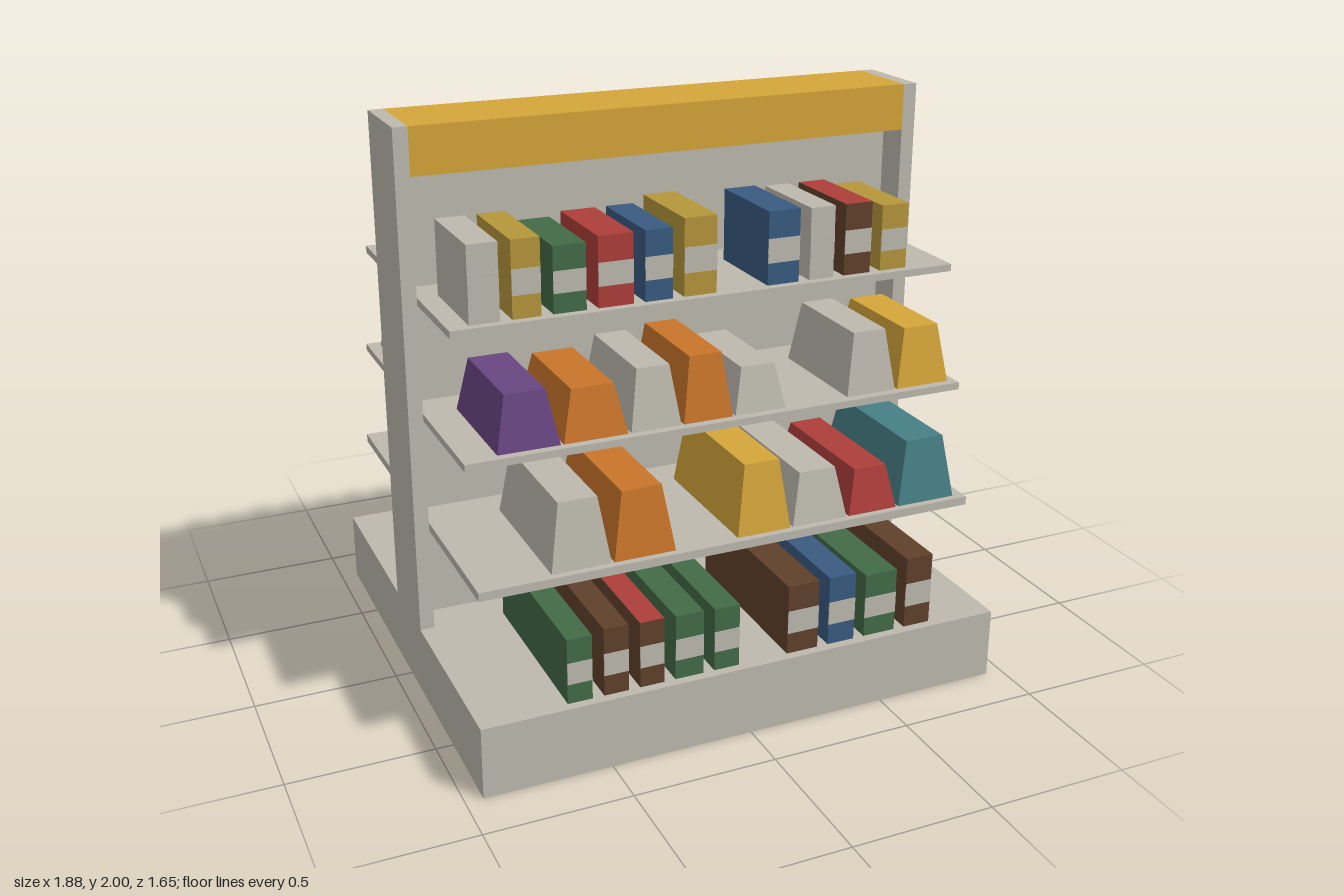
import * as THREE from 'three';

const INNER = 0.15; // goods start level with the post faces

function makeMaterials() {
  const colours = {
    grey: 0xbdb9ae, gold: 0xd4a539, ochre: 0xb5963b, red: 0xad3e39, blue: 0x395b81,
    green: 0x436b46, brown: 0x60412c, orange: 0xc9752a, teal: 0x457f85, purple: 0x694682,
  };
  const mats = {};
  for (const [name, color] of Object.entries(colours)) {
    mats[name] = new THREE.MeshStandardMaterial({ color });
    mats[name].name = name;
  }
  mats.grey.side = THREE.DoubleSide;
  return mats;
}

// Box standing on height y, spanning x0..x1 and z0..z1
function addBox(parent, name, material, x0, x1, y, height, z0, z1) {
  const geo = new THREE.BoxGeometry(x1 - x0, height, z1 - z0);
  const mesh = new THREE.Mesh(geo, material);
  mesh.position.set((x0 + x1) / 2, y + height / 2, (z0 + z1) / 2);
  mesh.name = name;
  parent.add(mesh);
  return mesh;
}

// Drop the bottom face (the fourth face of a box)
function openBottom(mesh) {
  const index = Array.from(mesh.geometry.index.array);
  index.splice(18, 6);
  mesh.geometry.setIndex(index);
  mesh.geometry.clearGroups();
}

// Draw the top edges of a box inwards
function taper(geo) {
  const p = geo.attributes.position;
  for (let i = 0; i < p.count; i++) {
    if (p.getY(i) < 0) continue;
    p.setX(i, p.getX(i) * 0.65);
    p.setZ(i, p.getZ(i) - Math.sign(p.getZ(i)) * 0.03);
  }
  geo.computeVertexNormals();
}

export function createModel() {
  const root = new THREE.Group();
  root.name = 'storeShelf';
  const mats = makeMaterials();

  // Frame: hollow base, end posts, centre panel, header
  openBottom(addBox(root, 'base', mats.grey, -0.94, 0.94, 0, 0.25, -0.825, 0.825));
  openBottom(addBox(root, 'leftPost', mats.grey, 0.89, 0.94, 0, 2, -INNER, INNER));
  openBottom(addBox(root, 'rightPost', mats.grey, -0.94, -0.89, 0, 2, -INNER, INNER));
  addBox(root, 'centrePanel', mats.grey, -0.89, 0.89, 0.25, 1.59, -0.03, 0.03);
  addBox(root, 'header', mats.gold, -0.89, 0.89, 1.84, 0.16, -INNER, INNER);

  // Shelves get shallower towards the top
  const addShelf = (y, thick, z) =>
    addBox(root, 'shelf', mats.grey, -0.89, 0.89, y - thick, thick, -z, z);
  addShelf(0.65, 0.03, 0.695);
  addShelf(1.045, 0.025, 0.605);
  addShelf(1.445, 0.025, 0.51);

  const levels = {
    base: { y: 0.25, z: 0.793 },
    lower: { y: 0.65, z: 0.67 },
    middle: { y: 1.045, z: 0.575 },
    upper: { y: 1.445, z: 0.48 },
  };

  // Goods placed side by side from x; side is 1 at the front and -1 at the back
  function row(name, level, side, x, gap, items, place) {
    const group = new THREE.Group();
    group.name = name;
    root.add(group);
    const { y, z } = levels[level];
    const z0 = side > 0 ? INNER : -z;
    for (const [colour, width, height, cap = colour, flank = colour] of items) {
      place({ group, colour, cap, flank, x0: x, x1: x + width, y, height,
        z0, z1: z0 + z - INNER, face: side * z });
      x += width + gap;
    }
  }

  function carton({ group, colour, cap, flank, x0, x1, y, height, z0, z1 }) {
    const faces = [flank, flank, cap, colour, colour, colour].map((c) => mats[c]);
    addBox(group, 'carton', faces, x0, x1, y, height, z0, z1);
  }

  // Carton with a label band across its outward face
  function labelledCarton(item) {
    const { group, x0, x1, y, height, face } = item;
    carton(item);
    addBox(group, 'label', mats.grey, x0, x1, y + 0.3 * height, 0.33 * height,
      face - 0.002, face + 0.002);
  }

  function bag({ group, colour, x0, x1, y, height, z0, z1 }) {
    taper(addBox(group, 'bag', mats[colour], x0, x1, y, height, z0, z1).geometry);
  }

  // Front goods
  row('frontBaseCartonsRight', 'base', 1, -0.64, 0.04, [
    ['green', 0.085, 0.23], ['brown', 0.085, 0.24], ['brown', 0.085, 0.235, 'red'],
    ['green', 0.1, 0.23], ['green', 0.09, 0.225]], labelledCarton);
  row('frontBaseCartonsLeft', 'base', 1, 0.145, 0.04, [
    ['brown', 0.115, 0.25], ['blue', 0.1, 0.25], ['green', 0.12, 0.23],
    ['brown', 0.1, 0.26]], labelledCarton);
  row('frontLowerBagsRight', 'lower', 1, -0.64, 0.01, [
    ['grey', 0.205, 0.23], ['orange', 0.215, 0.23]], bag);
  row('frontLowerBagsLeft', 'lower', 1, 0.015, 0.01, [
    ['gold', 0.195, 0.245], ['grey', 0.205, 0.18], ['red', 0.185, 0.155],
    ['teal', 0.22, 0.225]], bag);
  row('frontMiddleBagsRight', 'middle', 1, -0.775, 0.01, [
    ['purple', 0.21, 0.185], ['orange', 0.22, 0.17], ['grey', 0.175, 0.205],
    ['orange', 0.175, 0.22], ['grey', 0.185, 0.155]], bag);
  row('frontMiddleBagsLeft', 'middle', 1, 0.465, 0.01, [
    ['grey', 0.185, 0.215], ['gold', 0.2, 0.205]], bag);
  row('frontUpperCartonsRight', 'upper', 1, -0.82, 0.04, [
    ['grey', 0.1, 0.255], ['ochre', 0.095, 0.255], ['green', 0.11, 0.22],
    ['red', 0.12, 0.235], ['blue', 0.095, 0.235], ['ochre', 0.115, 0.26]], labelledCarton);
  row('frontUpperCartonsLeft', 'upper', 1, 0.2, 0.04, [
    ['blue', 0.115, 0.25], ['grey', 0.09, 0.245], ['brown', 0.1, 0.245, 'red'],
    ['ochre', 0.1, 0.225]], labelledCarton);

  // Back goods
  row('backBaseCartons', 'base', -1, -0.625, 0.015, [
    ['red', 0.22, 0.17], ['gold', 0.265, 0.22], ['gold', 0.205, 0.22], ['gold', 0.24, 0.23],
    ['grey', 0.275, 0.18], ['ochre', 0.2, 0.16, 'ochre', 'brown']], carton);
  row('backLowerCartonsRight', 'lower', -1, -0.635, 0.04, [
    ['red', 0.115, 0.14], ['grey', 0.09, 0.14], ['gold', 0.105, 0.15],
    ['blue', 0.095, 0.15], ['grey', 0.095, 0.14]], labelledCarton);
  row('backLowerCartonsLeft', 'lower', -1, 0.18, 0.04, [
    ['gold', 0.11, 0.14], ['grey', 0.1, 0.14], ['red', 0.115, 0.16],
    ['gold', 0.095, 0.16], ['grey', 0.085, 0.155]], labelledCarton);
  row('backMiddleBagsRight', 'middle', -1, -0.845, 0.01, [
    ['grey', 0.18, 0.145], ['ochre', 0.21, 0.185], ['orange', 0.215, 0.185],
    ['grey', 0.2, 0.155]], bag);
  row('backMiddleBagsLeft', 'middle', -1, 0.215, 0.01, [
    ['grey', 0.235, 0.185], ['green', 0.22, 0.175], ['orange', 0.17, 0.215]], bag);
  row('backUpperCartonsRight', 'upper', -1, -0.755, 0.04, [
    ['red', 0.085, 0.135], ['grey', 0.105, 0.135], ['blue', 0.105, 0.155],
    ['blue', 0.1, 0.155], ['grey', 0.085, 0.145], ['blue', 0.09, 0.155]], labelledCarton);
  row('backUpperCartonsLeft', 'upper', -1, 0.055, 0.04, [
    ['gold', 0.085, 0.145], ['grey', 0.11, 0.145], ['green', 0.1, 0.16],
    ['grey', 0.115, 0.145], ['red', 0.095, 0.145], ['gold', 0.09, 0.145]], labelledCarton);

  return root;
}
